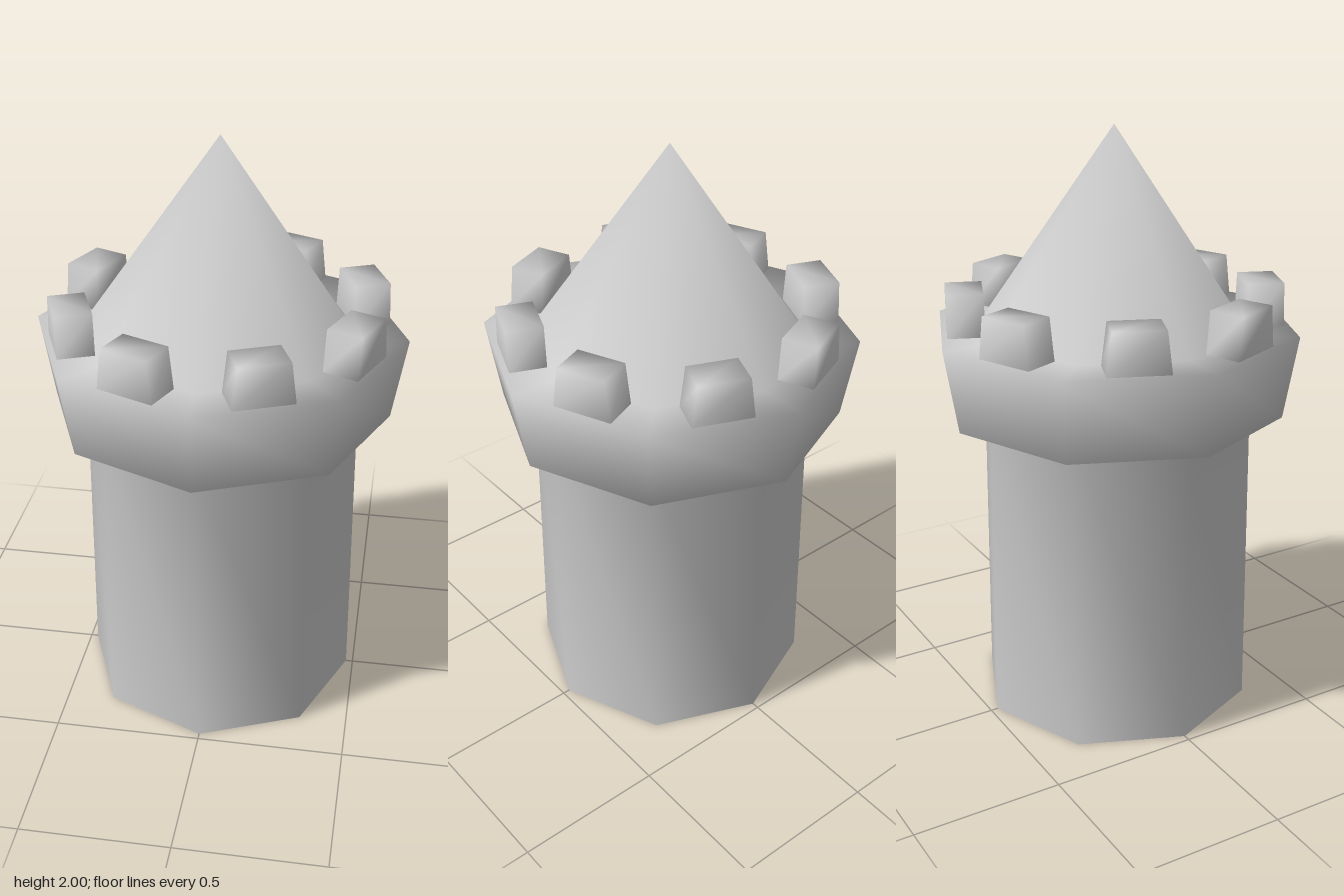
import * as THREE from 'three';
import { mergeVertices } from 'three/addons/utils/BufferGeometryUtils.js';

const SIDES = 8;

// Octagonal rings from the foot to the tip: [radius, height]
const PROFILE = [
  [0.476, 0], [0.466, 1.06], [0.575, 1.06], [0.622, 1.34], [0.46, 1.34], [0, 2],
];

// One smooth skin over all rings, so that the shading flows from part to part
function towerSkin() {
  const positions = [];
  const index = [];
  for (const [r, y] of PROFILE) {
    for (let i = 0; i < SIDES; i++) {
      const a = (i / SIDES) * Math.PI * 2;
      positions.push(Math.sin(a) * r, y, Math.cos(a) * r);
    }
  }
  const tip = (PROFILE.length - 1) * SIDES;
  for (let k = 0; k < PROFILE.length - 1; k++) {
    for (let i = 0; i < SIDES; i++) {
      const j = (i + 1) % SIDES;
      const low = k * SIDES, high = low + SIDES;
      if (high === tip) {
        index.push(low + i, low + j, tip);
      } else {
        index.push(high + i, low + i, low + j, high + i, low + j, high + j);
      }
    }
  }
  const geometry = new THREE.BufferGeometry();
  geometry.setAttribute('position', new THREE.Float32BufferAttribute(positions, 3));
  geometry.setIndex(index);
  geometry.computeVertexNormals();
  return geometry;
}

// Part of the skin between two rings, keeping the shared normals
function skinPart(skin, name, from, to, material) {
  const perBand = SIDES * 6;
  const part = skin.clone();
  part.setIndex(Array.from(skin.index.array).slice(from * perBand, to * perBand));
  const mesh = new THREE.Mesh(part, material);
  mesh.name = name;
  return mesh;
}

// Block narrowing towards its top, with soft shading and no hidden underside
function merlonGeometry() {
  const box = new THREE.BoxGeometry(0.2, 0.14, 0.122);
  box.deleteAttribute('normal');
  box.deleteAttribute('uv');
  const all = Array.from(box.index.array);
  box.setIndex([...all.slice(0, 18), ...all.slice(24)]);
  const p = box.attributes.position;
  for (let i = 0; i < p.count; i++) {
    if (p.getY(i) > 0) p.setX(i, p.getX(i) * 0.83);
  }
  const geometry = mergeVertices(box);
  geometry.computeVertexNormals();
  return geometry;
}

export function createModel() {
  const stone = new THREE.MeshStandardMaterial({ color: 0xcccccc, side: THREE.DoubleSide });
  stone.name = 'stone grey';

  const tower = new THREE.Group();
  tower.name = 'tower';

  // Shaft (open below), overhanging parapet and pointed roof
  const skin = towerSkin();
  tower.add(skinPart(skin, 'shaft', 0, 1, stone));
  tower.add(skinPart(skin, 'parapet', 1, 4, stone));
  tower.add(skinPart(skin, 'roof', 4, 5, stone));

  // A merlon in the middle of each side of the parapet
  const merlons = new THREE.Group();
  merlons.name = 'merlons';
  const block = merlonGeometry();
  for (let i = 0; i < SIDES; i++) {
    const a = ((i + 0.5) / SIDES) * Math.PI * 2;
    const merlon = new THREE.Mesh(block, stone);
    merlon.name = 'merlon';
    merlon.position.set(Math.sin(a) * 0.495, 1.41, Math.cos(a) * 0.495);
    merlon.rotation.y = a;
    merlons.add(merlon);
  }
  tower.add(merlons);
  return tower;
}
